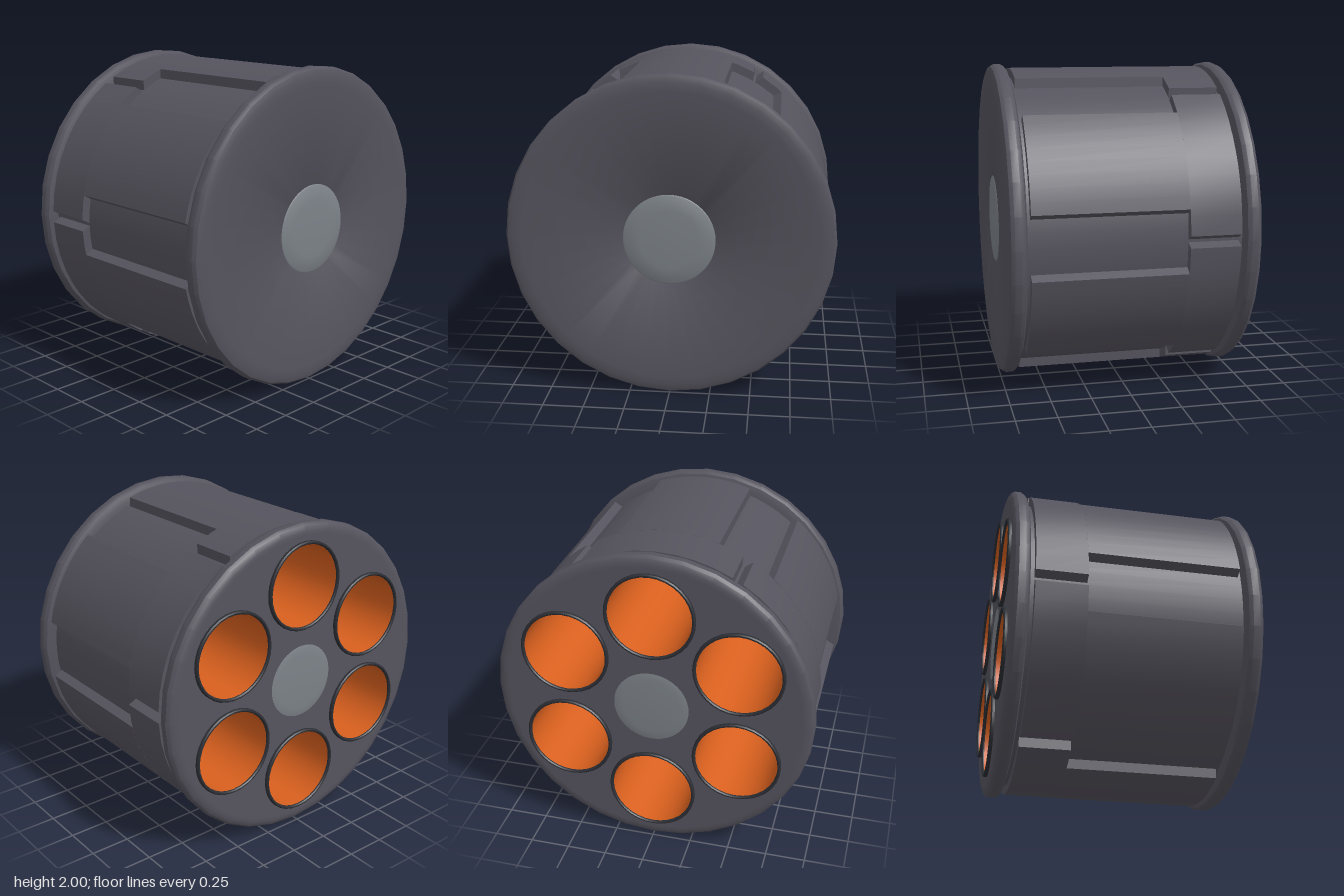
import * as THREE from 'three';
import { toCreasedNormals } from 'three/addons/utils/BufferGeometryUtils.js';

const mat = (color, side = THREE.FrontSide) => new THREE.MeshStandardMaterial({ color, side });
const V = (x, y) => new THREE.Vector2(x, y);

export function createModel() {
  const model = new THREE.Group();
  const dark = mat(0x55535d);
  const steel = mat(0x7c8288);
  const rimDark = mat(0x2b2e34);
  const orange = mat(0xd9601e, THREE.DoubleSide);

  const add = (name, geometry, material, parent = model) => {
    const mesh = new THREE.Mesh(geometry, material);
    mesh.name = name;
    parent.add(mesh);
    return mesh;
  };
  // Profile of [radius, z] pairs, revolved about the z axis
  const revolve = (profile, segments = 32, crease = 0.6) =>
    toCreasedNormals(
      new THREE.LatheGeometry(profile.map(([r, z]) => V(r, z)), segments).rotateX(Math.PI / 2), crease);

  const drum = new THREE.Group();
  drum.name = 'drum';
  drum.position.y = 1;
  model.add(drum);

  // Core, visible in the necks and at the bottom of the slots
  add('core', revolve([[0.92, -0.68], [0.92, 0.7]], 64), dark, drum);

  // Front disc with a rounded rim and a shallow dished face
  add('frontDisc', revolve([
    [0.9, 0.65], [0.95, 0.655], [0.985, 0.667], [1, 0.69], [1, 0.732],
    [0.986, 0.753], [0.95, 0.765], [0.9, 0.763], [0.28, 0.747], [0.27, 0.74]]), dark, drum);

  // Back disc: rounded rim plus a plate pierced by six chambers
  add('backRim', revolve([
    [0.93, -0.742], [0.955, -0.742], [0.986, -0.73], [1, -0.71], [1, -0.67],
    [0.985, -0.647], [0.95, -0.637], [0.9, -0.63]]), dark, drum);
  const chambers = [...Array(6).keys()].map((k) => {
    const a = Math.PI / 6 + (k * Math.PI) / 3;
    return V(0.62 * Math.cos(a), 0.62 * Math.sin(a));
  });
  const plate = new THREE.Shape().absarc(0, 0, 0.932, 0, Math.PI * 2);
  for (const c of chambers) {
    plate.holes.push(new THREE.Path().absarc(c.x, c.y, 0.27, 0, Math.PI * 2, true));
  }
  const plateGeo = new THREE.ExtrudeGeometry(plate, { depth: 0.09, bevelEnabled: false, curveSegments: 16 });
  add('backPlate', toCreasedNormals(plateGeo.translate(0, 0, -0.742), 0.6), dark, drum);

  // Chambers: dark lip, orange liner and closed end
  const lipGeo = revolve([
    [0.258, -0.66], [0.258, -0.757], [0.264, -0.765], [0.272, -0.765], [0.278, -0.757], [0.278, -0.7]]);
  const linerGeo = new THREE.CylinderGeometry(0.257, 0.257, 1.35, 32, 1, true)
    .rotateX(Math.PI / 2).translate(0, 0, -0.075);
  const endGeo = new THREE.CircleGeometry(0.257, 32).translate(0, 0, 0.6);
  for (const c of chambers) {
    const chamber = new THREE.Group();
    chamber.name = 'chamber';
    chamber.position.set(c.x, c.y, 0);
    drum.add(chamber);
    add('chamberLip', lipGeo, rimDark, chamber).material.side = THREE.DoubleSide;
    add('chamberLiner', linerGeo, orange, chamber);
    add('chamberEnd', endGeo, orange, chamber);
  }

  // Gently domed axle caps on both faces
  const cap = [[0.28, 0.72], [0.28, 0.747], [0.272, 0.752], [0.18, 0.757], [0.09, 0.76], [0, 0.761]];
  add('frontCap', revolve(cap, 48), steel, drum);
  const backCap = add('backCap', revolve(cap, 48), steel, drum);
  backCap.rotation.y = Math.PI;
  backCap.position.z = 0.012;

  // Six raised shells separated by sloped slots: narrow at the back, wide towards the front
  const shellGeo = (outerGap, innerGap, z0, z1) => {
    const points = [];
    const arc = (r, from, to, n) => {
      for (let i = 0; i <= n; i++) {
        const a = from + ((to - from) * i) / n;
        points.push(V(r * Math.cos(a), r * Math.sin(a)));
      }
    };
    const end = Math.PI / 3;
    arc(0.975, outerGap, end - outerGap, 8);
    arc(0.905, end - innerGap, innerGap, 8);
    const geo = new THREE.ExtrudeGeometry(new THREE.Shape(points), { depth: z1 - z0, bevelEnabled: false });
    return toCreasedNormals(geo.translate(0, 0, z0), 0.4);
  };
  const backShell = shellGeo(0.037, 0.002, -0.61, -0.3);
  const frontShell = shellGeo(0.2, 0.172, -0.3, 0.635);
  for (let k = 0; k < 6; k++) {
    const shell = new THREE.Group();
    shell.name = 'shell';
    shell.rotation.z = (k * Math.PI) / 3;
    drum.add(shell);
    add('shellBack', backShell, dark, shell);
    add('shellFront', frontShell, dark, shell);
  }
  return model;
}
